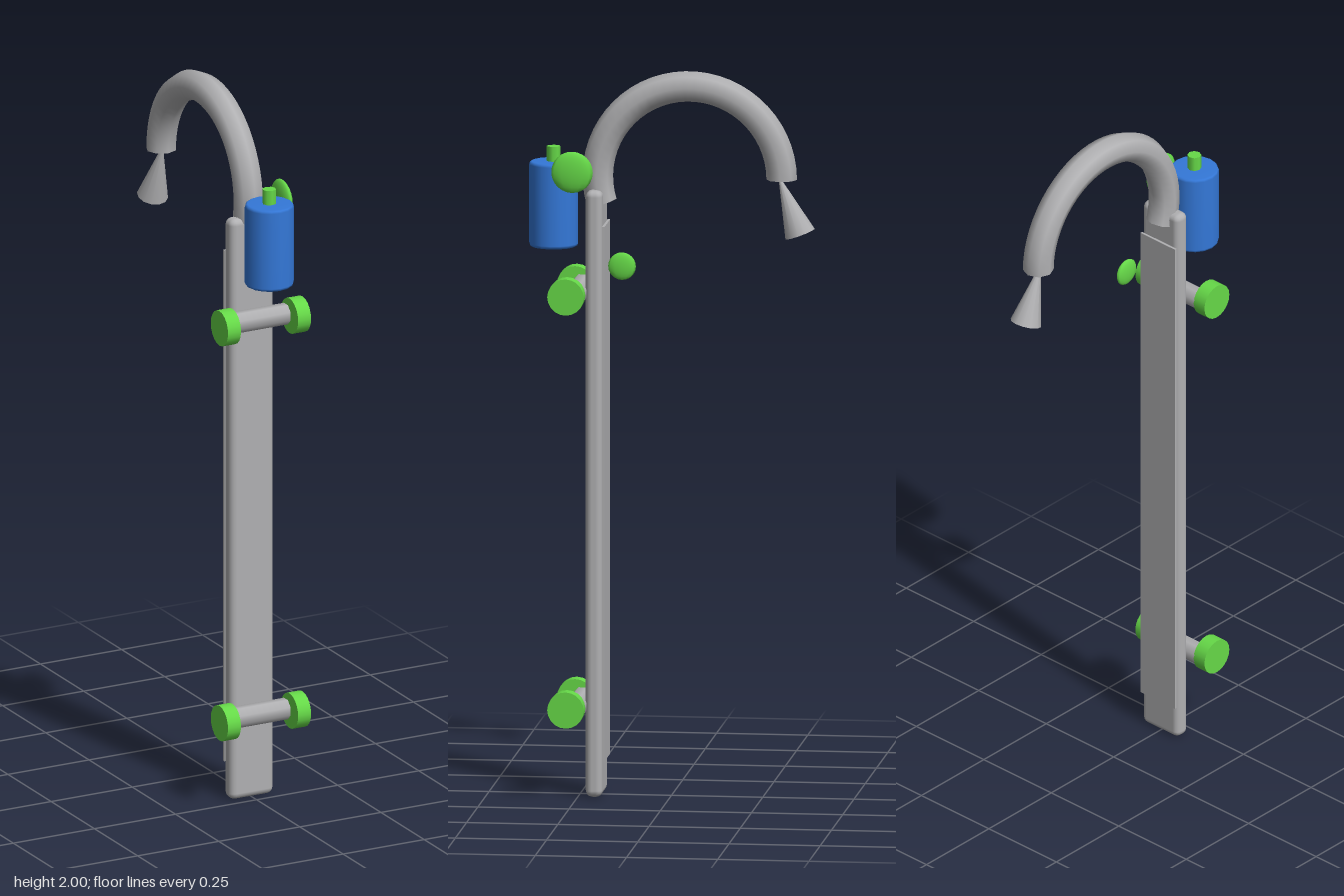
import * as THREE from 'three';
import { RoundedBoxGeometry } from 'three/addons/geometries/RoundedBoxGeometry.js';

export function createModel() {
  const model = new THREE.Group();
  const material = (name, color) => {
    const m = new THREE.MeshStandardMaterial({ color });
    m.name = name;
    return m;
  };
  const steel = material('steel grey', 0xb0b0b2);
  const green = material('bright green', 0x66d948);
  const blue = material('bottle blue', 0x3478d8);

  const add = (name, geometry, mat, x, y, z, parent = model) => {
    const mesh = new THREE.Mesh(geometry, mat);
    mesh.name = name;
    mesh.position.set(x, y, z);
    parent.add(mesh);
    return mesh;
  };

  // Upright panel with its thin back plate
  add('panel', new RoundedBoxGeometry(0.134, 1.674, 0.046, 2, 0.018), steel, 0, 0.837, 0.206);
  add('backPlate', new THREE.BoxGeometry(0.128, 1.475, 0.007), steel, 0, 0.838, 0.1795);

  // Curved neck: an arc in the side plane, closed at both ends
  const R = 0.252, r = 0.042, dip = 0.3;
  const neck = new THREE.Group();
  neck.name = 'neck';
  neck.position.set(0, 1.706, -0.05);
  neck.rotation.y = -Math.PI / 2;
  model.add(neck);
  add('neckTube', new THREE.TorusGeometry(R, r, 8, 32, Math.PI + dip).rotateZ(-dip), steel, 0, 0, 0, neck);
  const cap = (x, angle) => new THREE.CircleGeometry(r, 8).rotateX(Math.PI / 2).translate(x, 0, 0).rotateZ(angle);
  add('neckLowerEnd', cap(R, -dip), steel, 0, 0, 0, neck);
  add('neckOutletEnd', cap(-R, 0), steel, 0, 0, 0, neck);

  // Spray cone under the outlet
  const spray = add('sprayCone', new THREE.CylinderGeometry(0.004, 0.043, 0.158, 12), steel, 0, 1.631, -0.325);
  spray.rotation.x = 0.354;

  // Bottle with softened rims, and its cap
  const profile = [[0, 0], [0.06, 0], [0.065, 0.003], [0.067, 0.009],
    [0.067, 0.226], [0.065, 0.232], [0.06, 0.235], [0, 0.235]].map(([x, y]) => new THREE.Vector2(x, y));
  add('bottle', new THREE.LatheGeometry(profile, 16), blue, 0, 1.51, 0.323);
  add('bottleCap', new THREE.CylinderGeometry(0.019, 0.019, 0.05, 8), green, 0, 1.761, 0.323);

  // Two cross bars with a round knob at each end
  for (const [label, y] of [['lower', 0.25], ['upper', 1.39]]) {
    const bar = new THREE.CylinderGeometry(0.03, 0.03, 0.18, 8).rotateY(Math.PI / 8).rotateZ(Math.PI / 2);
    add(label + 'Bar', bar, steel, 0, y, 0.254);
    for (const side of [-1, 1]) {
      const knob = new THREE.CylinderGeometry(0.05, 0.05, 0.04, 20).rotateZ(Math.PI / 2);
      add(label + (side > 0 ? 'LeftKnob' : 'RightKnob'), knob, green, side * 0.108, y, 0.275);
    }
  }

  // Lens-shaped side buttons
  for (const [name, radius, y, z] of [['largeButton', 0.057, 1.726, 0.264], ['smallButton', 0.038, 1.47, 0.127]]) {
    const button = add(name, new THREE.SphereGeometry(radius, 12, 12), green, 0.07, y, z);
    button.scale.x = 0.28;
  }

  return model;
}
